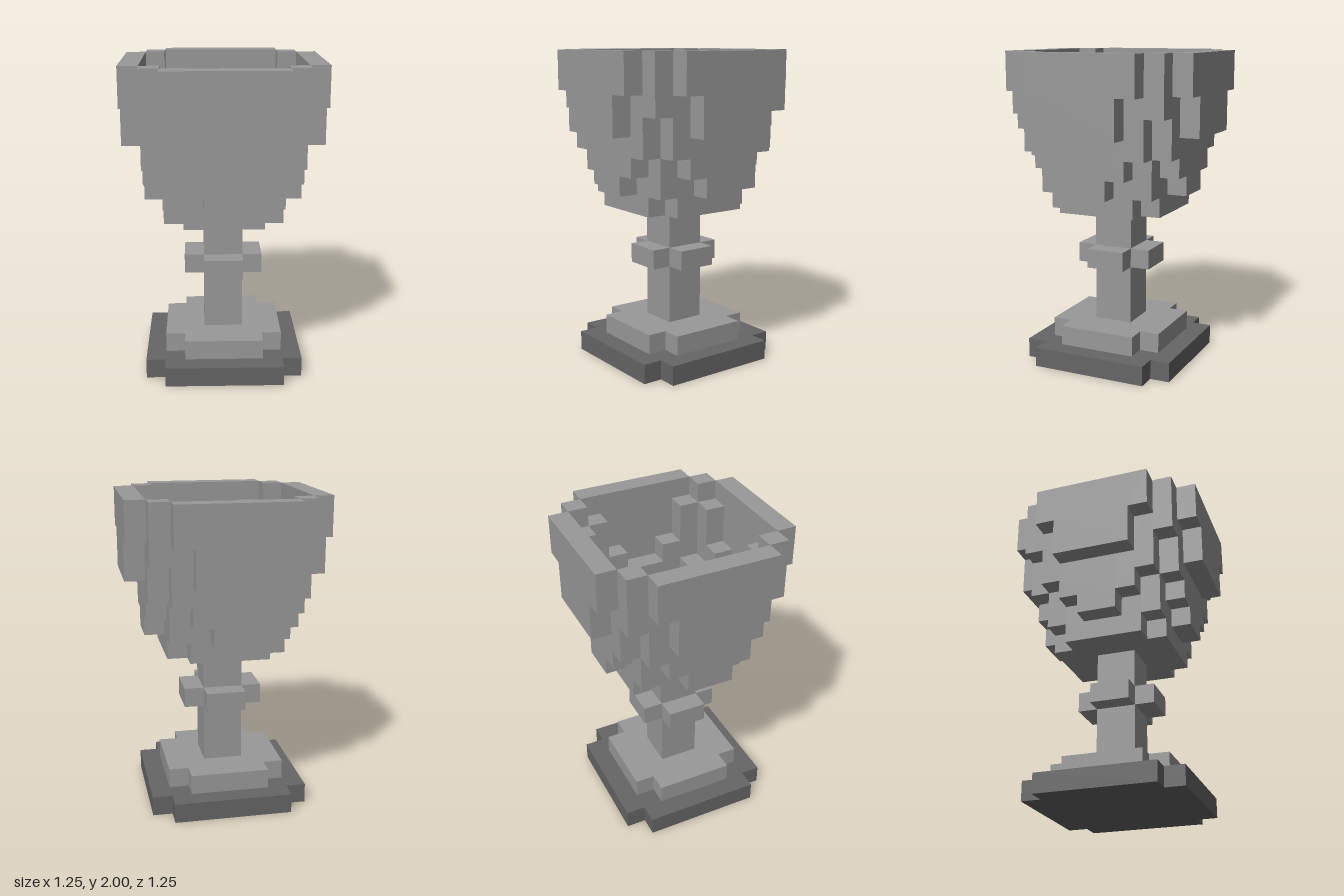
import * as THREE from 'three';

const U = 0.125; // one block

export function createModel() {
  const group = new THREE.Group();
  const stone = new THREE.MeshStandardMaterial({ color: 0x999999 });
  stone.name = 'light grey';
  const dark = new THREE.MeshStandardMaterial({ color: 0x666666 });
  dark.name = 'dark grey';

  const add = (name, geo, mat, parent = group) => {
    geo.scale(U, U, U);
    const mesh = new THREE.Mesh(geo, mat);
    mesh.name = name;
    parent.add(mesh);
    return mesh;
  };

  // Box from its corner ranges, in blocks
  const box = (name, x, y, z, mat, parent) => {
    const geo = new THREE.BoxGeometry(x[1] - x[0], y[1] - y[0], z[1] - z[0]);
    geo.translate((x[0] + x[1]) / 2, (y[0] + y[1]) / 2, (z[0] + z[1]) / 2);
    return add(name, geo, mat, parent);
  };

  // Outline mirrored in x and extruded
  const mirrored = (half, depth) => {
    const pts = [...half, ...half.map(([x, y]) => [-x, y]).reverse()];
    const shape = new THREE.Shape(pts.map(([x, y]) => new THREE.Vector2(x, y)));
    return new THREE.ExtrudeGeometry(shape, { depth, bevelEnabled: false });
  };

  // Horizontal square slab with notched corners
  const cross = (name, outer, inner, y0, y1, mat) => {
    const geo = mirrored([[inner, -outer], [inner, -inner], [outer, -inner],
      [outer, inner], [inner, inner], [inner, outer]], y1 - y0);
    geo.rotateX(-Math.PI / 2).translate(0, y0, 0);
    return add(name, geo, mat);
  };

  // Foot, stem and knob
  cross('footLower', 4, 3, 0, 1, dark);
  cross('footUpper', 3, 2, 1, 2, stone);
  box('stemLower', [-1, 1], [2, 5], [-1, 1], stone);
  cross('stemKnob', 2, 1, 5, 6, stone);
  box('stemUpper', [-1, 1], [6, 8], [-1, 1], stone);

  // Bowl bottom and its dark inner floor
  cross('bowlBottom', 3, 2, 8, 9, stone);
  box('bowlFloor', [-2, 2], [9, 9.06], [-2, 2], dark);

  // Four identical bowl sides
  for (let i = 0; i < 4; i++) {
    const side = new THREE.Group();
    side.name = 'bowlSide';
    side.rotation.y = i * Math.PI / 2;
    group.add(side);

    box('bowlLedge', [-2, 2], [9, 10], [2, 3], stone, side);
    box('innerCornerPost', [2, 3], [9, 12], [2, 3], stone, side);
    box('rimCornerPost', [3, 4], [13, 16], [3, 4], stone, side);

    // Stepped wall
    const wall = mirrored([[1, 9], [1, 10], [2, 10], [2, 11], [3, 11],
      [3, 15], [2, 15], [2, 13], [1, 13], [1, 12]], 1).translate(0, 0, 3);
    add('bowlWall', wall, stone, side);

    // Outer rim panel
    const rim = mirrored([[2, 12], [2, 14], [3, 14], [3, 16]], 1).translate(0, 0, 4);
    add('rimPanel', rim, stone, side);
  }
  return group;
}
